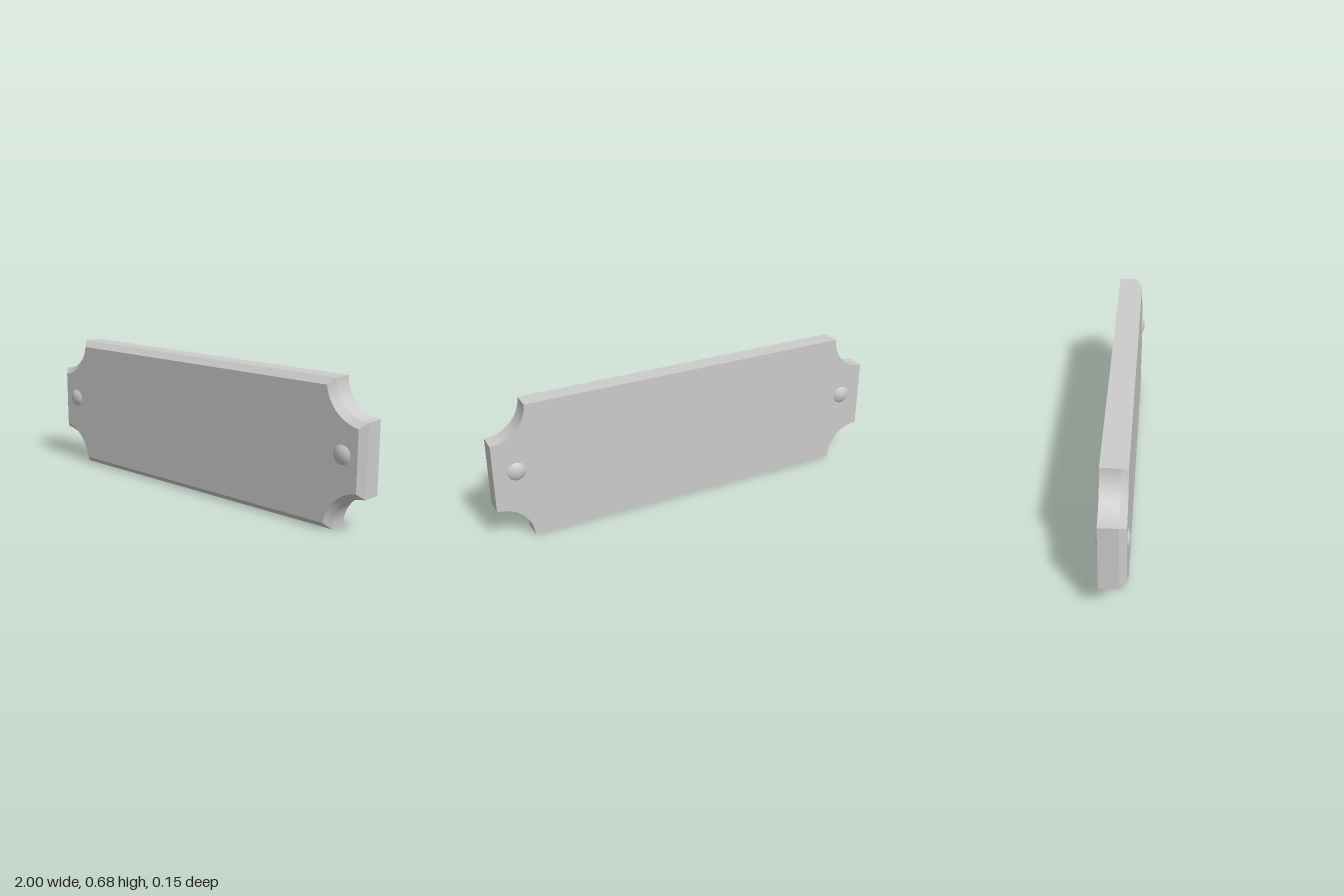
import * as THREE from 'three';
import { toCreasedNormals } from 'three/addons/utils/BufferGeometryUtils.js';

const HALF_W = 1, HALF_H = 0.34, NOTCH = 0.17, BEVEL = 0.03;
const BACK = -0.06, FRONT = 0.06, ARC_STEPS = 16;

// Counter-clockwise plate outline with scooped corners, moved inwards by inset
function outline(inset) {
  const r = NOTCH + inset, a0 = Math.asin(inset / r);
  const points = [];
  const corners = [[1, 1, Math.PI * 1.5], [-1, 1, 0], [-1, -1, Math.PI / 2], [1, -1, Math.PI]];
  for (const [sx, sy, end] of corners) {
    // each scoop is swept clockwise about the missing corner
    for (let i = 0; i <= ARC_STEPS; i++) {
      const a = end - a0 - (i / ARC_STEPS) * (Math.PI / 2 - 2 * a0);
      points.push(new THREE.Vector2(sx * HALF_W + r * Math.cos(a), sy * HALF_H + r * Math.sin(a)));
    }
  }
  return points;
}

// Plate skin: back face, straight rim, chamfer, front face
function plateGeometry() {
  const rings = [[0, BACK], [0, FRONT - BEVEL], [BEVEL, FRONT]].map(([inset, z]) => ({ pts: outline(inset), z }));
  const n = rings[0].pts.length;
  const position = [], index = [];
  for (const { pts, z } of rings) for (const p of pts) position.push(p.x, p.y + HALF_H, z);
  for (let k = 0; k < rings.length - 1; k++) {
    for (let i = 0; i < n; i++) {
      const a = k * n + i, b = k * n + (i + 1) % n;
      index.push(a, b, b + n, a, b + n, a + n);
    }
  }
  const last = (rings.length - 1) * n;
  for (const [a, b, c] of THREE.ShapeUtils.triangulateShape(rings[0].pts, [])) index.push(c, b, a);
  for (const [a, b, c] of THREE.ShapeUtils.triangulateShape(rings[2].pts, [])) index.push(last + a, last + b, last + c);
  const geometry = new THREE.BufferGeometry();
  geometry.setAttribute('position', new THREE.Float32BufferAttribute(position, 3));
  geometry.setIndex(index);
  return toCreasedNormals(geometry, Math.PI / 6);
}

export function createModel() {
  const group = new THREE.Group();
  group.name = 'wallPlaque';
  const material = new THREE.MeshStandardMaterial({ color: 0xcccccc });

  const plate = new THREE.Mesh(plateGeometry(), material);
  plate.name = 'plate';
  group.add(plate);

  // Round rivets showing on both faces
  const rivetGeometry = new THREE.SphereGeometry(0.075, 32, 24);
  for (const [name, side] of [['leftRivet', 1], ['rightRivet', -1]]) {
    const rivet = new THREE.Mesh(rivetGeometry, material);
    rivet.name = name;
    rivet.position.set(side * 0.89, 0.357, 0);
    group.add(rivet);
  }
  return group;
}
